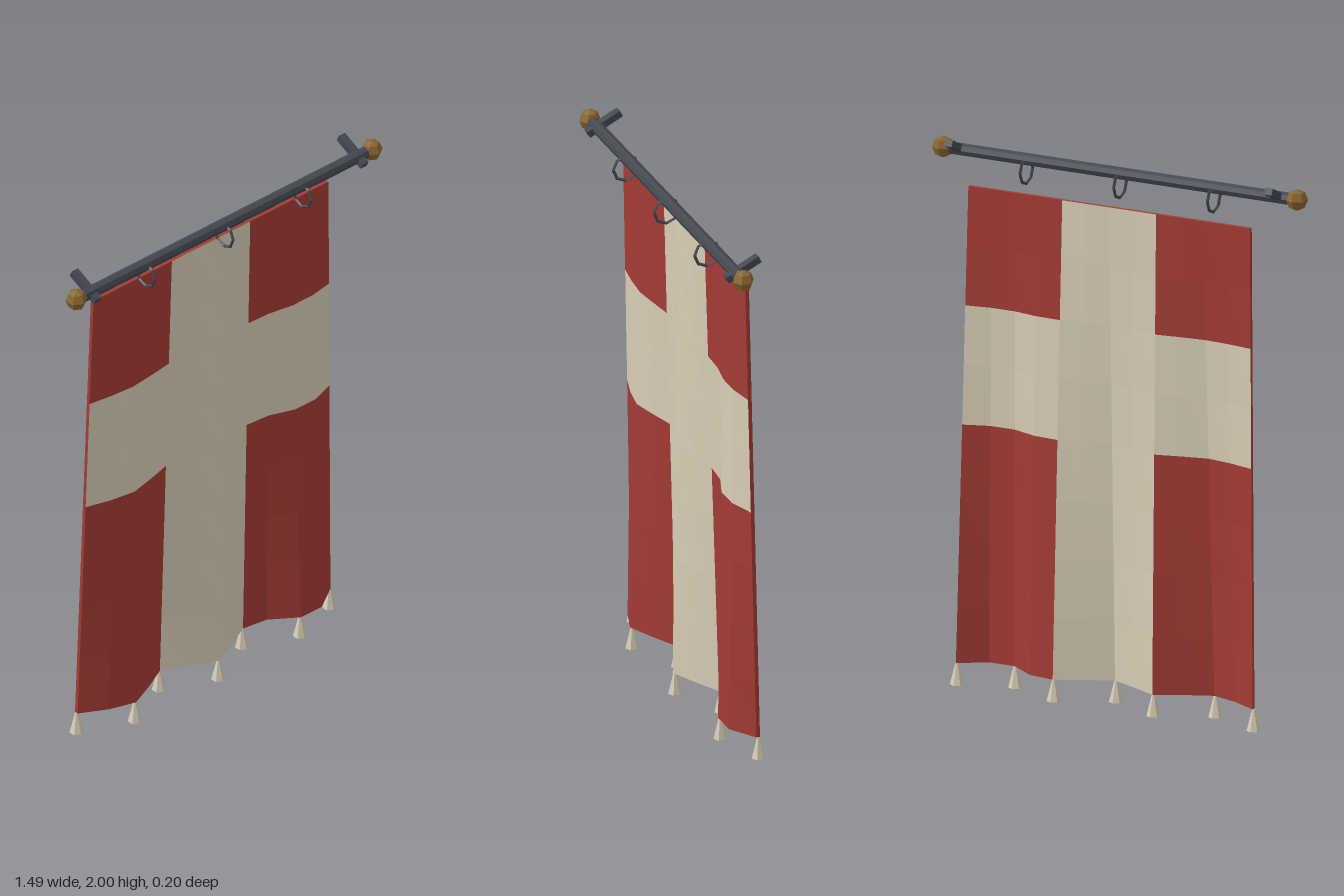
import * as THREE from 'three';

const mat = (name, color) => {
  const m = new THREE.MeshStandardMaterial({ color, flatShading: true });
  m.name = name;
  return m;
};

// Depth of the folds along the hem, one value per column edge
const HEM = [-0.075, -0.02, 0.012, -0.03, -0.08, -0.03, 0.014, -0.03, -0.08, -0.065, 0.006, 0.006, -0.058];
const COLS = 12, ROWS = 8, TOP = 1.84, BOTTOM = 0.08, REST = -0.03, THICK = 0.014;

// Point on the cloth: side +1 is the front face, -1 the back
function clothPoint(c, r, side) {
  const t = r / ROWS;
  const half = 0.565 + 0.035 * t;
  return [
    half * (c / COLS * 2 - 1),
    TOP + (BOTTOM - TOP) * t,
    REST + (HEM[c] - REST) * t + side * THICK / 2,
  ];
}

// Corners run top left, top right, bottom right, bottom left as seen from outside
function addQuad(list, tl, tr, br, bl) {
  list.push(...tl, ...bl, ...br, ...tl, ...br, ...tr);
}

function clothGeometry(list) {
  const g = new THREE.BufferGeometry();
  g.setAttribute('position', new THREE.Float32BufferAttribute(list, 3));
  g.computeVertexNormals();
  return g;
}

export function createModel() {
  const group = new THREE.Group();
  group.name = 'hangingBanner';
  const red = mat('red cloth', 0xa33b34);
  const cream = mat('cream cloth', 0xd8cdb6);
  const iron = mat('dark iron', 0x434851);
  const brass = mat('old brass', 0x8a6630);

  const add = (name, geometry, material, x, y, z) => {
    const m = new THREE.Mesh(geometry, material);
    m.name = name;
    m.position.set(x, y, z);
    group.add(m);
    return m;
  };

  // Cloth faces, sorted into field and cross
  const field = [], cross = [];
  const P = clothPoint;
  for (let c = 0; c < COLS; c++) {
    for (let r = 0; r < ROWS; r++) {
      const inCross = (c >= 4 && c < 8) || (r >= 2 && r < 4);
      const list = inCross ? cross : field;
      addQuad(list, P(c, r, 1), P(c + 1, r, 1), P(c + 1, r + 1, 1), P(c, r + 1, 1));
      addQuad(list, P(c + 1, r, -1), P(c, r, -1), P(c, r + 1, -1), P(c + 1, r + 1, -1));
    }
    // Top edge and hem
    addQuad(field, P(c, 0, -1), P(c + 1, 0, -1), P(c + 1, 0, 1), P(c, 0, 1));
    addQuad(field, P(c, ROWS, 1), P(c + 1, ROWS, 1), P(c + 1, ROWS, -1), P(c, ROWS, -1));
  }
  // Side edges
  for (let r = 0; r < ROWS; r++) {
    addQuad(field, P(0, r, -1), P(0, r, 1), P(0, r + 1, 1), P(0, r + 1, -1));
    addQuad(field, P(COLS, r, 1), P(COLS, r, -1), P(COLS, r + 1, -1), P(COLS, r + 1, 1));
  }
  add('clothField', clothGeometry(field), red, 0, 0, 0);
  add('clothCross', clothGeometry(cross), cream, 0, 0, 0);

  // Tassels along the hem
  const tassel = new THREE.CylinderGeometry(0.005, 0.025, 0.08, 6);
  for (let c = 0; c <= COLS; c += 2) {
    add('tassel', tassel, cream, (c / COLS * 2 - 1) * 0.6, 0.04, HEM[c]);
  }

  // Rod
  const rodY = 1.945, rodZ = 0.045;
  add('rod', new THREE.CylinderGeometry(0.023, 0.023, 1.36, 8).rotateZ(Math.PI / 2), iron, 0, rodY, rodZ);

  // Rod end knobs and sloping wall brackets
  const knob = new THREE.SphereGeometry(0.04, 6, 4).rotateY(Math.PI / 2);
  const bracket = new THREE.BoxGeometry(0.03, 0.026, 0.139).rotateX(0.46);
  for (const s of [-1, 1]) {
    add('endKnob', knob, brass, s * 0.71, rodY, rodZ);
    add('wallBracket', bracket, iron, s * 0.642, 1.958, 0.02);
  }

  // Hanging rings
  const ring = new THREE.TorusGeometry(0.048, 0.006, 4, 8).rotateY(Math.PI / 2);
  for (const x of [-0.376, 0, 0.376]) add('hangingRing', ring, iron, x, 1.902, rodZ);

  return group;
}
